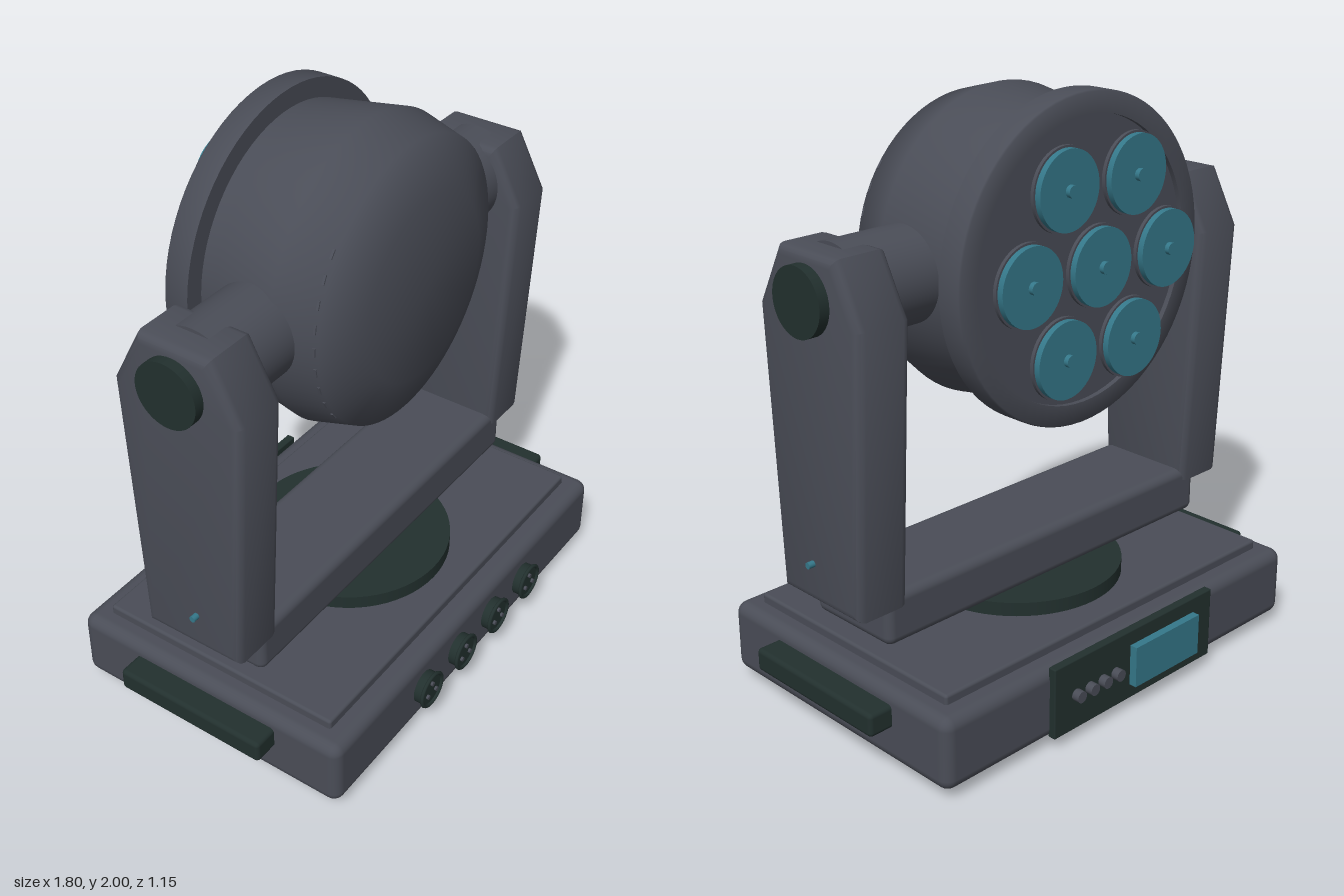
import * as THREE from 'three';
import { toCreasedNormals } from 'three/addons/utils/BufferGeometryUtils.js';
import { RoundedBoxGeometry } from 'three/addons/geometries/RoundedBoxGeometry.js';

const mat = (name, color) => {
  const m = new THREE.MeshStandardMaterial({ color });
  m.name = name;
  return m;
};

export function createModel() {
  const body = mat('charcoal', 0x4a4d57);
  const dark = mat('darkGreenBlack', 0x22302e);
  const teal = mat('teal', 0x35788a);
  const root = new THREE.Group();
  root.name = 'movingHeadLight';

  const add = (parent, name, geo, material, x = 0, y = 0, z = 0) => {
    const m = new THREE.Mesh(geo, material);
    m.name = name;
    m.position.set(x, y, z);
    parent.add(m);
    return m;
  };
  const group = (name, x = 0, y = 0, z = 0) => {
    const g = new THREE.Group();
    g.name = name;
    g.position.set(x, y, z);
    root.add(g);
    return g;
  };
  const box = (w, h, d, r) => new RoundedBoxGeometry(w, h, d, 3, r);
  const cylX = (r, l, n = 40) => new THREE.CylinderGeometry(r, r, l, n).rotateZ(Math.PI / 2);
  const cylZ = (r, l, n = 40) => new THREE.CylinderGeometry(r, r, l, n).rotateX(Math.PI / 2);

  // Base with feet, side grips and turntable
  const base = group('base');
  add(base, 'baseHousing', box(1.63, 0.25, 1.06, 0.04), body, 0, 0.16, 0);
  add(base, 'topPlate', box(1.49, 0.06, 0.91, 0.01), body, 0, 0.287, 0);
  add(base, 'turntable', new THREE.CylinderGeometry(0.36, 0.36, 0.05, 64), dark, 0, 0.34, 0);
  for (const sx of [-1, 1]) {
    add(base, 'sideGrip', box(0.11, 0.08, 0.57, 0.015), dark, sx * 0.845, 0.2, 0);
    for (const sz of [-1, 1])
      add(base, 'foot', new THREE.CylinderGeometry(0.075, 0.075, 0.04, 32), dark, sx * 0.62, 0.02, sz * 0.36);
  }

  // Row of round sockets on the front
  for (const x of [-0.32, -0.107, 0.107, 0.32]) {
    const s = group('socket', x, 0.163, 0);
    add(s, 'socketBarrel', cylZ(0.058, 0.04), dark, 0, 0, 0.542);
    add(s, 'socketRim', new THREE.TorusGeometry(0.06, 0.007, 8, 40), dark, 0, 0, 0.564);
    for (let i = 0; i < 3; i++) {
      const a = Math.PI / 2 + (i * Math.PI * 2) / 3;
      add(s, 'socketPin', cylZ(0.008, 0.01, 12), body, Math.cos(a) * 0.028, Math.sin(a) * 0.028, 0.565);
    }
  }

  // Control panel on the back
  const panel = group('controlPanel', 0, 0.168, 0);
  add(panel, 'panelPlate', box(0.76, 0.25, 0.03, 0.005), dark, 0, 0, -0.538);
  add(panel, 'screen', new THREE.BoxGeometry(0.315, 0.145, 0.03), teal, -0.128, 0, -0.565);
  for (let i = 0; i < 4; i++)
    add(panel, 'button', cylZ(0.02, 0.03, 20), body, 0.1 + i * 0.061, 0, -0.565);

  // Yoke: crossbar and two tapered arms
  const yoke = group('yoke');
  add(yoke, 'crossbar', box(1.46, 0.175, 0.36, 0.03), body, 0, 0.443, 0);
  const half = [[0.185, 0.485], [0.232, 1.42], [0.13, 1.613]];
  const outline = new THREE.Shape([
    ...half.map(([u, v]) => new THREE.Vector2(u, v)),
    ...[...half].reverse().map(([u, v]) => new THREE.Vector2(-u, v)),
  ]);
  const armGeo = toCreasedNormals(
    new THREE.ExtrudeGeometry(outline, {
      depth: 0.14, bevelThickness: 0.03, bevelSize: 0.03, bevelOffset: -0.03, bevelSegments: 3,
    }).translate(0, 0, -0.07).rotateY(Math.PI / 2), 0.6);
  for (const s of [-1, 1]) {
    add(yoke, 'arm', armGeo, body, s * 0.75, 0, 0);
    add(yoke, 'pivotShaft', cylX(0.155, 0.28, 48), body, s * 0.615, 1.47, 0);
    add(yoke, 'pivotCap', cylX(0.11, 0.05), dark, s * 0.86, 1.47, 0);
    add(yoke, 'indicator', cylX(0.011, 0.03, 16), teal, s * 0.857, 0.62, 0.025);
  }

  // Head: turned shell with a flanged ring and recessed face
  const head = group('head', 0, 1.47, 0);
  const profile = [
    [0, -0.285], [0.46, -0.285], [0.46, -0.302], [0.525, -0.302], [0.53, -0.297], [0.53, -0.213],
    [0.465, -0.213], [0.475, -0.15], [0.512, 0.075], [0.472, 0.225], [0.31, 0.29], [0, 0.292],
  ].map(([r, z]) => new THREE.Vector2(r, z));
  const shell = new THREE.LatheGeometry(profile, 72).rotateX(Math.PI / 2);
  add(head, 'headShell', toCreasedNormals(shell, 1.25), body);

  // Vent slits along both sides of the shell
  for (const s of [0, Math.PI])
    for (let i = -4; i <= 4; i++) {
      const a = s + i * 0.16;
      const slit = add(head, 'ventSlit', new THREE.BoxGeometry(0.012, 0.03, 0.008), body,
        Math.cos(a) * 0.472, Math.sin(a) * 0.472, 0.213);
      slit.rotation.z = a;
    }

  // Seven lenses: one in the middle, six around it
  for (let i = 0; i < 7; i++) {
    const r = i ? 0.305 : 0;
    const a = (i * Math.PI) / 3;
    const x = Math.cos(a) * r, y = Math.sin(a) * r;
    add(head, 'lensRim', cylZ(0.133, 0.012, 48), body, x, y, -0.351);
    add(head, 'lens', cylZ(0.126, 0.022, 48), teal, x, y, -0.367);
    add(head, 'lensTip', cylZ(0.02, 0.018, 20), teal, x, y, -0.385);
  }
  return root;
}
